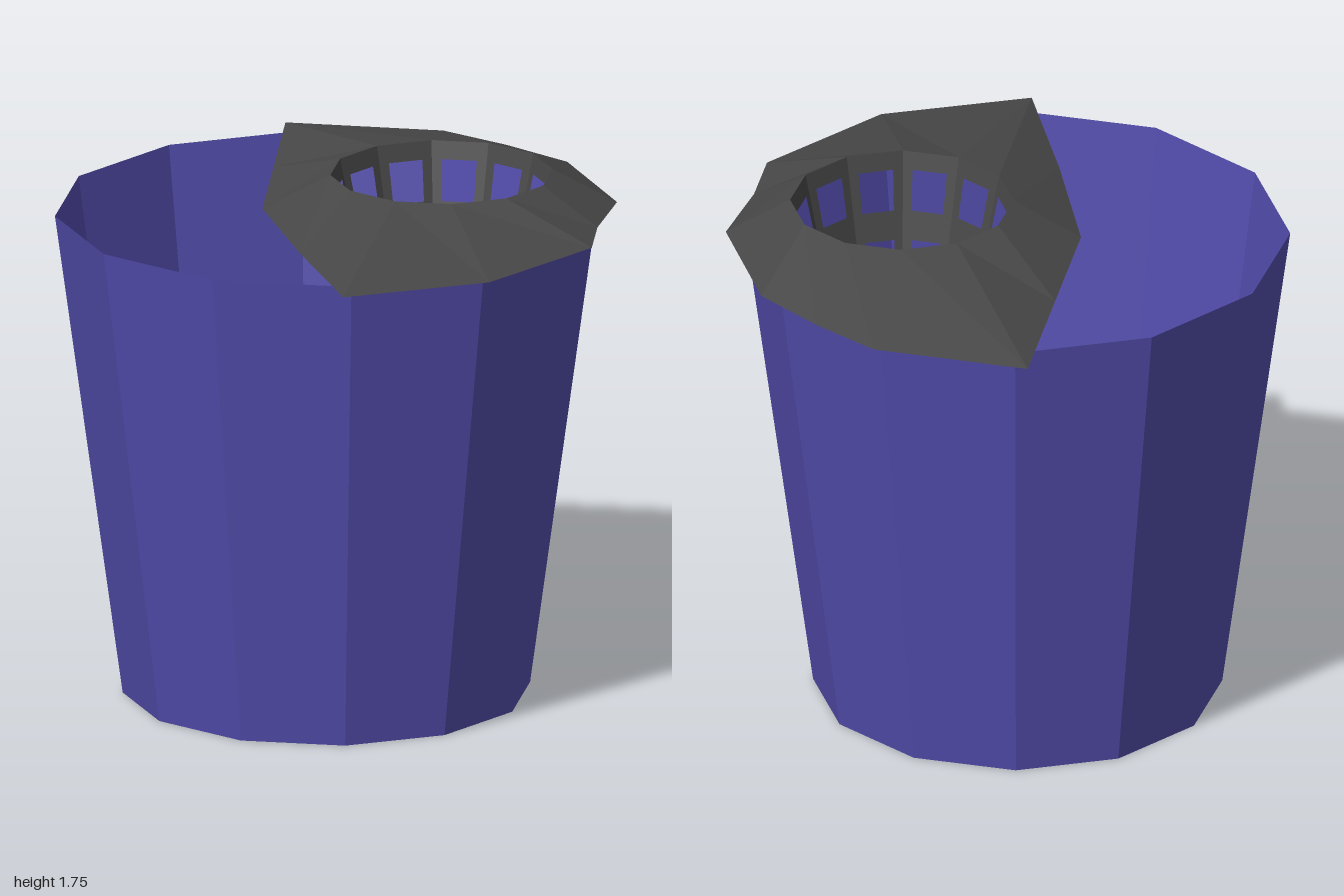
import * as THREE from 'three';

const flat = (name, color) => {
  const m = new THREE.MeshStandardMaterial({ color, flatShading: true, side: THREE.DoubleSide });
  m.name = name;
  return m;
};

// Open surface from a list of four-cornered faces
function quads(list) {
  const pos = [];
  for (const [a, b, c, d] of list) {
    for (const p of [a, b, c, a, c, d]) pos.push(p.x, p.y, p.z);
  }
  const g = new THREE.BufferGeometry();
  g.setAttribute('position', new THREE.Float32BufferAttribute(pos, 3));
  g.computeVertexNormals();
  return g;
}

export function createModel() {
  const group = new THREE.Group();
  const blue = flat('blue plastic', 0x524cab);
  const grey = flat('dark grey plastic', 0x474747);
  const add = (name, geometry, material, x = 0, y = 0) => {
    const mesh = new THREE.Mesh(geometry, material);
    mesh.name = name;
    mesh.position.set(x, y, 0);
    group.add(mesh);
    return mesh;
  };

  // Bucket: tapered twelve-sided wall and a floor
  const H = 1.63, SIDES = 12, BX = -0.033;
  add('bucketWall', new THREE.CylinderGeometry(0.89, 0.668, H, SIDES, 1, true), blue, BX, H / 2);
  add('bucketFloor', new THREE.CircleGeometry(0.668, SIDES).rotateX(Math.PI / 2), blue, BX, 0.002);

  // Rings of the wringer
  const WX = 0.345, TOP = 1.745, LOW = 1.0;
  const ring = (r, y) => Array.from({ length: SIDES }, (_, i) => {
    const a = (i / SIDES) * Math.PI * 2;
    return new THREE.Vector3(WX + r * Math.cos(a), y, r * Math.sin(a));
  });
  const upper = ring(0.365, TOP), lower = ring(0.2, LOW);

  // Sloping cover from the wringer mouth out to the bucket rim
  const outline = [
    [0.92, 0], [0.83, 0.28], [0.79, 0.51], [0.42, 0.87], [-0.07, 0.995], [-0.165, 0.48],
    [-0.24, -0.03], [-0.16, -0.5], [-0.075, -1], [0.43, -0.86], [0.62, -0.68], [0.8, -0.47],
  ].map(([x, z]) => new THREE.Vector3(x, 1.627, z));
  const cover = [], basket = [];

  // Basket wall: each panel is a grid with three window openings
  const us = [0, 0.18, 0.82, 1];
  const vs = [0, 0.08, 0.26, 0.39, 0.57, 0.7, 0.89, 1];
  for (let i = 0; i < SIDES; i++) {
    const j = (i + 1) % SIDES;
    cover.push([upper[i], upper[j], outline[j], outline[i]]);
    const at = (u, v) => upper[i].clone().lerp(upper[j], u)
      .lerp(lower[i].clone().lerp(lower[j], u), v);
    for (let r = 0; r < vs.length - 1; r++) {
      for (let c = 0; c < 3; c++) {
        if (c === 1 && r % 2 === 1) continue;
        basket.push([at(us[c], vs[r]), at(us[c + 1], vs[r]), at(us[c + 1], vs[r + 1]), at(us[c], vs[r + 1])]);
      }
    }
  }
  add('wringerCover', quads(cover.map((q) => q.reverse())), grey);
  add('wringerBasket', quads(basket), grey);
  add('wringerFloor', new THREE.CircleGeometry(0.2, SIDES).rotateX(-Math.PI / 2), grey, WX, LOW);

  return group;
}
